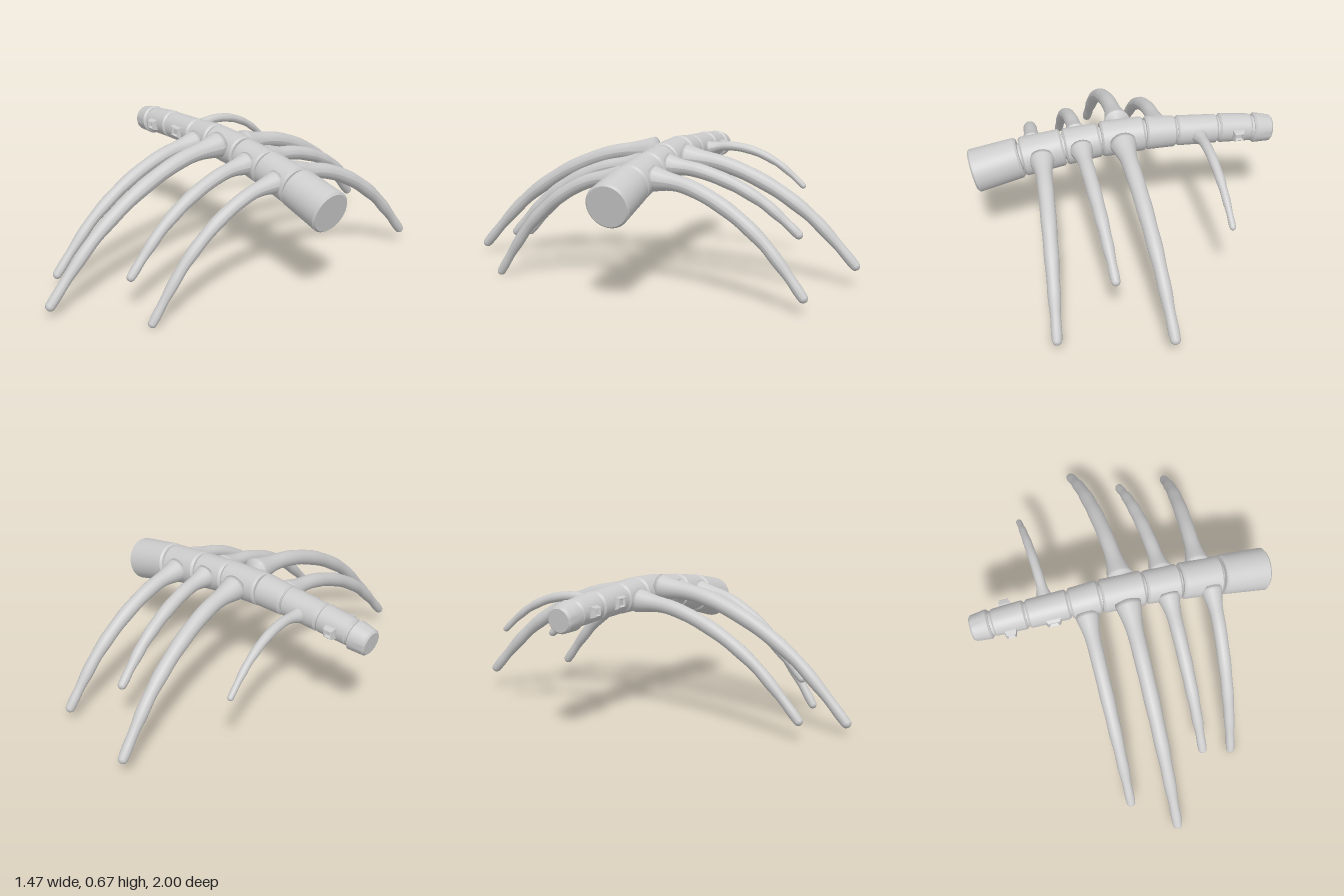
import * as THREE from 'three';
import { toCreasedNormals } from 'three/addons/utils/BufferGeometryUtils.js';

const material = new THREE.MeshStandardMaterial({ color: 0xcccccc });
const SPINE_Z = -0.07;

function addMesh(parent, geometry, name, mat = material) {
  const mesh = new THREE.Mesh(geometry, mat);
  mesh.name = name;
  parent.add(mesh);
  return mesh;
}

// Turned block between two points, its radius running from r0 to r1, with bevelled ends
function vertebra(parent, name, a, b, r0, r1, bevel = 0.009) {
  const from = new THREE.Vector3(a[0], a[1], SPINE_Z);
  const axis = new THREE.Vector3(b[0], b[1], SPINE_Z).sub(from);
  const length = axis.length();
  const profile = [
    [0, 0], [r0 - bevel, 0], [r0, bevel], [r1, length - bevel], [r1 - bevel, length], [0, length],
  ].map(([x, y]) => new THREE.Vector2(x, y));
  const mesh = addMesh(parent, toCreasedNormals(new THREE.LatheGeometry(profile, 40), 0.5), name);
  mesh.position.copy(from);
  mesh.quaternion.setFromUnitVectors(new THREE.Vector3(0, 1, 0), axis.normalize());
}

// Curved tapering rib with a flared root and a rounded tip; lift arches it further
const REACH = [0, 0.25, 0.5, 0.73, 0.88, 1];
const DROP = [0, 0.055, 0.23, 0.5, 0.76, 1];
function rib(parent, name, root, tip, thickness = 1, lift = 0) {
  const group = new THREE.Group();
  group.name = name;
  parent.add(group);
  const lerp = THREE.MathUtils.lerp;
  const curve = new THREE.CatmullRomCurve3(REACH.map((u, i) => new THREE.Vector3(
    lerp(root[0], tip[0], u ** 1.4),
    lerp(root[1], tip[1], DROP[i]) + lift * 4 * u * (1 - u),
    lerp(root[2], tip[2], u))));
  const rows = 56, sides = 18;
  const geometry = new THREE.TubeGeometry(curve, rows, 1, sides);
  const position = geometry.attributes.position;
  const radius = (t) => thickness * (lerp(0.036, 0.021, t) + 0.005 * Math.sin(Math.PI * t)
    + 0.024 * Math.exp(-((t / 0.09) ** 2)) + 0.0018 * Math.sin(t * 34) * t);
  const v = new THREE.Vector3();
  for (let i = 0; i <= rows; i++) {
    const centre = curve.getPointAt(i / rows);
    const r = i === 0 ? 0 : radius(i / rows); // the first ring closes the root
    for (let j = 0; j <= sides; j++) {
      const k = i * (sides + 1) + j;
      v.fromBufferAttribute(position, k).sub(centre).multiplyScalar(r).add(centre);
      position.setXYZ(k, v.x, v.y, v.z);
    }
  }
  geometry.computeVertexNormals();
  addMesh(group, geometry, name + 'Shaft');
  addMesh(group, new THREE.SphereGeometry(radius(1), 16, 12), name + 'Tip')
    .position.copy(curve.getPointAt(1));
}

// Square socket with sloping walls and a sunken middle, pointing along +z or -z
const flat = material.clone();
flat.flatShading = true;
function socket(parent, name, x, y, z, width, height, depth, direction) {
  const profile = [[0.707, -0.6], [0.707, 0.2], [0.56, 0.9], [0.46, 1], [0.32, 0.45], [0, 0.45]]
    .map(([r, h]) => new THREE.Vector2(r, h));
  const geometry = new THREE.LatheGeometry(profile, 4);
  geometry.rotateY(Math.PI / 4).rotateX(Math.PI / 2);
  const mesh = addMesh(parent, geometry, name, flat);
  mesh.scale.set(width, height, depth);
  mesh.position.set(x, y, z);
  if (direction < 0) mesh.rotation.y = Math.PI;
}

export function createModel() {
  const model = new THREE.Group();
  model.name = 'ribbedSpine';

  // Spine: start point, end point, start radius, end radius
  const spine = new THREE.Group();
  spine.name = 'spine';
  model.add(spine);
  [
    [[-0.728, 0.547], [-0.635, 0.559], 0.063, 0.072],
    [[-0.627, 0.562], [-0.465, 0.575], 0.065, 0.070],
    [[-0.459, 0.573], [-0.259, 0.582], 0.069, 0.072],
    [[-0.254, 0.581], [-0.108, 0.587], 0.074, 0.080],
    [[-0.104, 0.585], [0.103, 0.574], 0.081, 0.084],
    [[0.108, 0.572], [0.276, 0.551], 0.081, 0.087],
    [[0.283, 0.551], [0.480, 0.518], 0.088, 0.093],
    [[0.487, 0.517], [0.712, 0.464], 0.097, 0.104],
  ].forEach(([a, b, r0, r1], i) => vertebra(spine, 'vertebra' + (i + 1), a, b, r0, r1));

  // Narrower core showing in the gaps between the vertebrae
  const core = new THREE.CatmullRomCurve3([
    [-0.70, 0.55], [-0.46, 0.573], [-0.11, 0.586], [0.1, 0.573], [0.28, 0.552], [0.48, 0.519], [0.65, 0.48],
  ].map(([x, y]) => new THREE.Vector3(x, y, SPINE_Z)));
  addMesh(spine, new THREE.TubeGeometry(core, 40, 0.06, 24), 'spineCore');

  // Ribs: four to the front, four to the back
  rib(model, 'frontRib1', [-0.187, 0.572, -0.02], [-0.175, 0.092, 0.825], 0.97);
  rib(model, 'frontRib2', [0.01, 0.613, -0.02], [0.022, 0.057, 0.976], 1.07);
  rib(model, 'frontRib3', [0.21, 0.571, -0.02], [0.222, 0.187, 0.672], 0.95);
  rib(model, 'frontRib4', [0.422, 0.544, -0.02], [0.38, 0.021, 0.67], 0.92);
  rib(model, 'backRib1', [-0.362, 0.572, -0.115], [-0.4, 0.407, -0.63], 0.65, 0.04);
  rib(model, 'backRib2', [0.01, 0.588, -0.125], [-0.07, 0.108, -0.976], 1.07);
  rib(model, 'backRib3', [0.206, 0.573, -0.125], [0.152, 0.285, -0.76], 0.95);
  rib(model, 'backRib4', [0.392, 0.543, -0.125], [0.428, 0.076, -0.86], 1.02);

  // Sockets where the smaller vertebrae carry no rib
  socket(model, 'frontSocket1', -0.553, 0.567, -0.006, 0.056, 0.052, 0.028, 1);
  socket(model, 'frontSocket2', -0.346, 0.58, -0.004, 0.073, 0.058, 0.02, 1);
  socket(model, 'backSocket', -0.553, 0.567, 2 * SPINE_Z + 0.004, 0.056, 0.052, 0.028, -1);

  return model;
}
